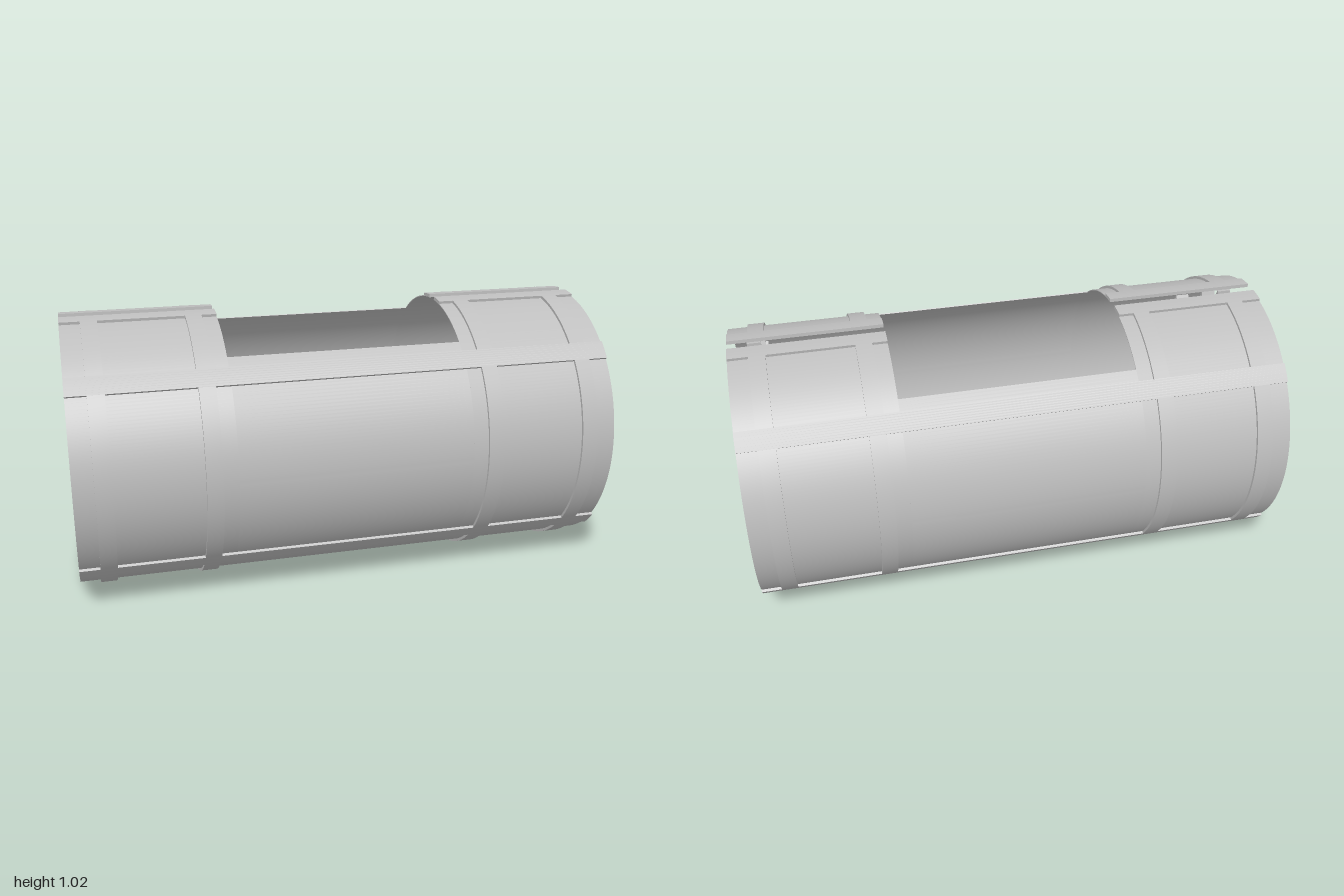
import * as THREE from 'three';
import { toCreasedNormals } from 'three/addons/utils/BufferGeometryUtils.js';

const CENTER_Y = 0.514;
const R_IN = 0.5, R_SHELL = 0.503, R_OUT = 0.513;
const GAP = 2.87;          // half gap between the two halves, in degrees
const END = 90 - GAP;
const CUT = 0.435;         // half length of the top opening
const CUT_ANGLE = 52.5;    // where the opening starts
const rad = THREE.MathUtils.degToRad;

export function createModel() {
  const metal = new THREE.MeshStandardMaterial({ color: 0xbfbfbf });
  metal.name = 'light grey metal';
  const model = new THREE.Group();
  model.name = 'splitSleeve';

  const add = (parent, name, geometry, x = 0, y = 0, z = 0) => {
    const mesh = new THREE.Mesh(geometry, metal);
    mesh.name = name;
    mesh.position.set(x, y, z);
    parent.add(mesh);
    return mesh;
  };

  // Curved plate about the x axis, angles in degrees up from the horizontal
  const arc = (parent, name, r0, r1, a0, a1, x0, x1) => {
    const shape = new THREE.Shape();
    shape.absarc(0, 0, r1, rad(a0), rad(a1), false);
    shape.absarc(0, 0, r0, rad(a1), rad(a0), true);
    shape.closePath();
    const geometry = new THREE.ExtrudeGeometry(shape, {
      depth: x1 - x0, bevelEnabled: false,
      curveSegments: Math.max(4, Math.ceil((a1 - a0) / 3)),
    });
    geometry.translate(0, 0, x0);
    geometry.rotateY(Math.PI / 2);
    add(parent, name, toCreasedNormals(geometry, rad(30)));
  };

  const makeHalf = (name) => {
    const half = new THREE.Group();
    half.name = name;

    // Thin shell, with the top opening left out of the middle
    arc(half, 'shellMiddle', R_IN, R_SHELL, -END, CUT_ANGLE, -CUT, CUT);
    arc(half, 'shellLeft', R_IN, R_SHELL, -END, END, CUT, 1);
    arc(half, 'shellRight', R_IN, R_SHELL, -END, END, -1, -CUT);

    // Raised lengthwise strips
    for (const [a0, a1] of [[39.1, 47.2], [-47.2, -39.1], [-END, -80.3]]) {
      arc(half, 'lengthwiseStrip', R_SHELL, R_OUT, a0, a1, -1, 1);
    }
    arc(half, 'topStripLeft', R_SHELL, R_OUT, 80.3, END, CUT, 1);
    arc(half, 'topStripRight', R_SHELL, R_OUT, 80.3, END, -1, -CUT);

    for (const side of [-1, 1]) {
      // Raised bands around the shell, fitted between the strips
      for (const x of [0.521, 0.896]) {
        for (const [a0, a1] of [[-80.3, -47.2], [-39.1, 39.1], [47.2, 80.3]]) {
          arc(half, 'band', R_SHELL, R_OUT, a0, a1, side * x - 0.03, side * x + 0.03);
        }
      }

      // Inner end ring with its radial spacers
      arc(half, 'endRing', 0.37, 0.427, -86.7, 86.7, side * 0.91 - 0.017, side * 0.91 + 0.017);
      for (const angle of [-70, -34.5, 0, 34.5, 70]) {
        const a = rad(angle), r = 0.456;
        const fin = add(half, 'spacer', new THREE.BoxGeometry(0.055, 0.011, 0.064),
          side * 0.895, r * Math.sin(a), -r * Math.cos(a));
        fin.rotation.x = a;
      }

      // Bolt lugs on the ring ends
      for (const up of [-1, 1]) {
        add(half, 'boltLug', new THREE.BoxGeometry(0.05, 0.072, 0.011),
          side * 0.905, up * 0.455, -0.0345);
      }
    }
    half.position.y = CENTER_Y;
    return half;
  };

  const back = makeHalf('backHalf');
  const front = makeHalf('frontHalf');
  front.rotation.y = Math.PI;
  model.add(back, front);

  // Bolts joining the halves
  const rod = (parent, name, r, z0, z1, sides) => {
    const geometry = new THREE.CylinderGeometry(r, r, z1 - z0, sides);
    geometry.rotateX(Math.PI / 2);
    add(parent, name, toCreasedNormals(geometry, rad(40)), 0, 0, (z0 + z1) / 2);
  };
  for (const x of [-0.905, 0.905]) {
    for (const up of [-1, 1]) {
      const bolt = new THREE.Group();
      bolt.name = 'bolt';
      rod(bolt, 'boltShaft', 0.014, -0.068, 0.045, 20);
      rod(bolt, 'boltHead', 0.02, 0.044, 0.061, 6);
      rod(bolt, 'nut', 0.02, -0.061, -0.044, 6);
      rod(bolt, 'frontWasher', 0.022, 0.04, 0.044, 20);
      rod(bolt, 'backWasher', 0.022, -0.044, -0.04, 20);
      bolt.position.set(x, CENTER_Y + up * 0.46, 0);
      model.add(bolt);
    }
  }
  return model;
}
